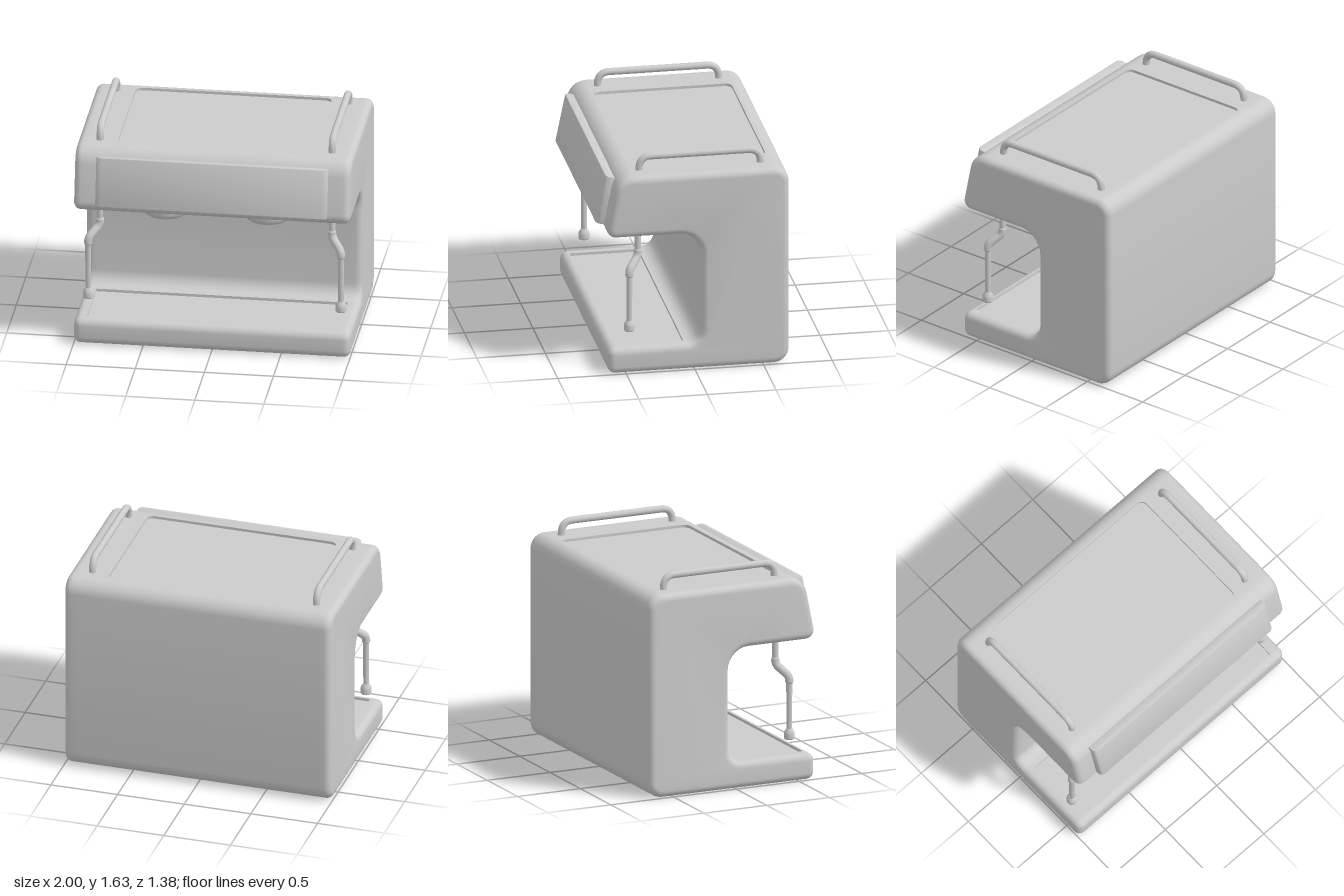
import * as THREE from 'three';
import { toCreasedNormals } from 'three/addons/utils/BufferGeometryUtils.js';

const V = (x, y, z) => new THREE.Vector3(x, y, z);
const material = new THREE.MeshStandardMaterial({ color: 0xcccccc, roughness: 0.6 });

function add(parent, name, geometry) {
  const mesh = new THREE.Mesh(geometry, material);
  mesh.name = name;
  parent.add(mesh);
  return mesh;
}

// C-shaped side profile: corners as z, y, fillet radius (anticlockwise)
const corners = [
  [-0.69, 0, 0.11], [0.63, 0, 0.055], [0.63, 0.195, 0.055],
  [-0.05, 0.195, 0.1], [-0.05, 1.04, 0.16], [0.648, 1.04, 0.065],
  [0.555, 1.505, 0.14], [-0.69, 1.505, 0.11],
];
const TRAY = 2, TOP = 6, DEPTH = 0.02, STEPS = 7;

// Cross-section with filleted corners, an inset, and two sunken areas
function section({ inset = 0, tray = 0, top = 0, shrink = 0.05 }) {
  const points = [];
  const notch = (z0, z1, y, d) => points.push(
    new THREE.Vector2(z0, y), new THREE.Vector2(z0, y - d),
    new THREE.Vector2(z1, y - d), new THREE.Vector2(z1, y));
  corners.forEach(([z, y, r], i) => {
    const n = corners.length;
    const p = corners[(i + n - 1) % n], q = corners[(i + 1) % n];
    const a1 = Math.atan2(y - p[1], z - p[0]) + Math.PI / 2;
    const a2 = Math.atan2(q[1] - y, q[0] - z) + Math.PI / 2;
    const turn = Math.atan2(Math.sin(a2 - a1), Math.cos(a2 - a1));
    const s = Math.sign(turn), k = s * r / (1 + Math.cos(turn));
    const cz = z + k * (Math.cos(a1) + Math.cos(a2));
    const cy = y + k * (Math.sin(a1) + Math.sin(a2));
    for (let j = 0; j <= STEPS; j++) {
      const a = a1 + turn * j / STEPS, R = s * (r - s * inset);
      points.push(new THREE.Vector2(cz - R * Math.cos(a), cy - R * Math.sin(a)));
    }
    if (i === TRAY) notch(0.57, 0.07, 0.195 - inset, tray);
    if (i === TOP) notch(0.435 - shrink, -0.57 + shrink, 1.505 - inset, top);
  });
  return points;
}

// Body: cross-sections lofted along x, with rounded side edges
function bodyGeometry() {
  const half = [];
  for (let k = 0; k <= 4; k++) {
    const a = k / 4 * Math.PI / 2;
    half.push({ x: 0.66 + 0.05 * Math.sin(a), tray: DEPTH, top: DEPTH, shrink: 0.05 * (1 - Math.cos(a)) });
  }
  half.push({ x: 0.71, tray: DEPTH }, { x: 0.91, tray: DEPTH }, { x: 0.91 });
  for (let k = 0; k <= 6; k++) {
    const a = k / 6 * Math.PI / 2;
    half.push({ x: 0.95 + 0.05 * Math.sin(a), inset: 0.05 * (1 - Math.cos(a)) });
  }
  const stations = [...half.map((s) => ({ ...s, x: -s.x })).reverse(), ...half];
  const rings = stations.map(section);
  const count = rings[0].length, position = [], index = [];
  rings.forEach((ring, i) => ring.forEach((p) => position.push(stations[i].x, p.y, p.x)));
  for (let i = 0; i < rings.length - 1; i++) {
    for (let j = 0; j < count; j++) {
      const a = i * count + j, b = i * count + (j + 1) % count;
      index.push(a, a + count, b, b, a + count, b + count);
    }
  }
  const last = (rings.length - 1) * count;
  for (const [a, b, c] of THREE.ShapeUtils.triangulateShape(rings[0], [])) {
    index.push(a, b, c, last + a, last + c, last + b);
  }
  const geometry = new THREE.BufferGeometry();
  geometry.setAttribute('position', new THREE.Float32BufferAttribute(position, 3));
  geometry.setIndex(index);
  return toCreasedNormals(geometry, 0.6);
}

// Path of straight runs with rounded bends
function bentPath(points, radius) {
  const path = new THREE.CurvePath();
  let start = points[0];
  for (let i = 1; i < points.length - 1; i++) {
    const p = points[i];
    const toward = (q) => p.clone().add(q.clone().sub(p).setLength(radius));
    const a = toward(points[i - 1]), b = toward(points[i + 1]);
    path.add(new THREE.LineCurve3(start, a));
    path.add(new THREE.QuadraticBezierCurve3(a, p, b));
    start = b;
  }
  path.add(new THREE.LineCurve3(start, points[points.length - 1]));
  return path;
}

const lathe = (profile, segments) => toCreasedNormals(
  new THREE.LatheGeometry(profile.map(([r, y]) => new THREE.Vector2(r, y)), segments), 0.6);

export function createModel() {
  const model = new THREE.Group();
  model.name = 'espressoMachine';
  add(model, 'body', bodyGeometry());

  // Sloped front panel with chamfered ends
  const plan = new THREE.Shape([
    [-0.838, 0.012], [-0.838, -0.025], [-0.828, -0.044], [-0.805, -0.056],
    [0.805, -0.056], [0.828, -0.044], [0.838, -0.025], [0.838, 0.012],
  ].map(([x, y]) => new THREE.Vector2(x, y)));
  const panelGeometry = new THREE.ExtrudeGeometry(plan, {
    depth: 0.352, bevelThickness: 0.006, bevelSize: 0.006, bevelOffset: -0.006, bevelSegments: 2,
  });
  panelGeometry.translate(0, 0, -0.176).rotateX(-Math.PI / 2);
  const panel = add(model, 'frontPanel', toCreasedNormals(panelGeometry, 0.5));
  panel.position.set(0, 1.276, 0.601);
  panel.rotation.x = -0.2;

  for (const side of [-1, 1]) {
    const label = side > 0 ? 'left' : 'right';

    // Brew head under the overhang
    add(model, label + 'BrewHead', lathe([
      [0, 0.945], [0.125, 0.945], [0.148, 0.95], [0.166, 0.965], [0.174, 0.99], [0.175, 1.06],
    ], 40)).position.set(side * 0.37, 0, 0.33);

    // Rail on top
    const x = side * 0.84;
    add(model, label + 'TopRail', new THREE.TubeGeometry(bentPath([
      V(x, 1.48, 0.38), V(x, 1.604, 0.375), V(x, 1.604, -0.5), V(x, 1.48, -0.505),
    ], 0.085), 96, 0.026, 14));

    // Steam wand: pipe, thicker elbow, nozzle
    const wand = new THREE.Group();
    wand.name = label + 'SteamWand';
    model.add(wand);
    const knee = V(x, 0.845, 0.388), ankle = V(side * 0.915, 0.765, 0.463);
    add(wand, 'upperPipe', new THREE.CylinderGeometry(0.022, 0.024, 0.22, 14))
      .position.set(x, 0.95, 0.388);
    add(wand, 'elbow', new THREE.TubeGeometry(bentPath([
      V(x, 0.885, 0.388), knee, ankle, V(side * 0.915, 0.725, 0.463),
    ], 0.035), 48, 0.03, 14));
    for (const [y, px, pz] of [[0.885, x, 0.388], [0.725, side * 0.915, 0.463]]) {
      const collar = add(wand, 'elbowEnd', new THREE.SphereGeometry(0.03, 14, 10));
      collar.position.set(px, y, pz);
      collar.scale.y = 0.6;
    }
    add(wand, 'lowerPipe', new THREE.CylinderGeometry(0.022, 0.02, 0.4, 14))
      .position.set(side * 0.915, 0.535, 0.463);
    add(wand, 'nozzle', lathe([
      [0, 0.3], [0.034, 0.3], [0.039, 0.306], [0.039, 0.35], [0.022, 0.378], [0, 0.378],
    ], 16)).position.set(side * 0.915, 0, 0.463);
  }
  return model;
}
